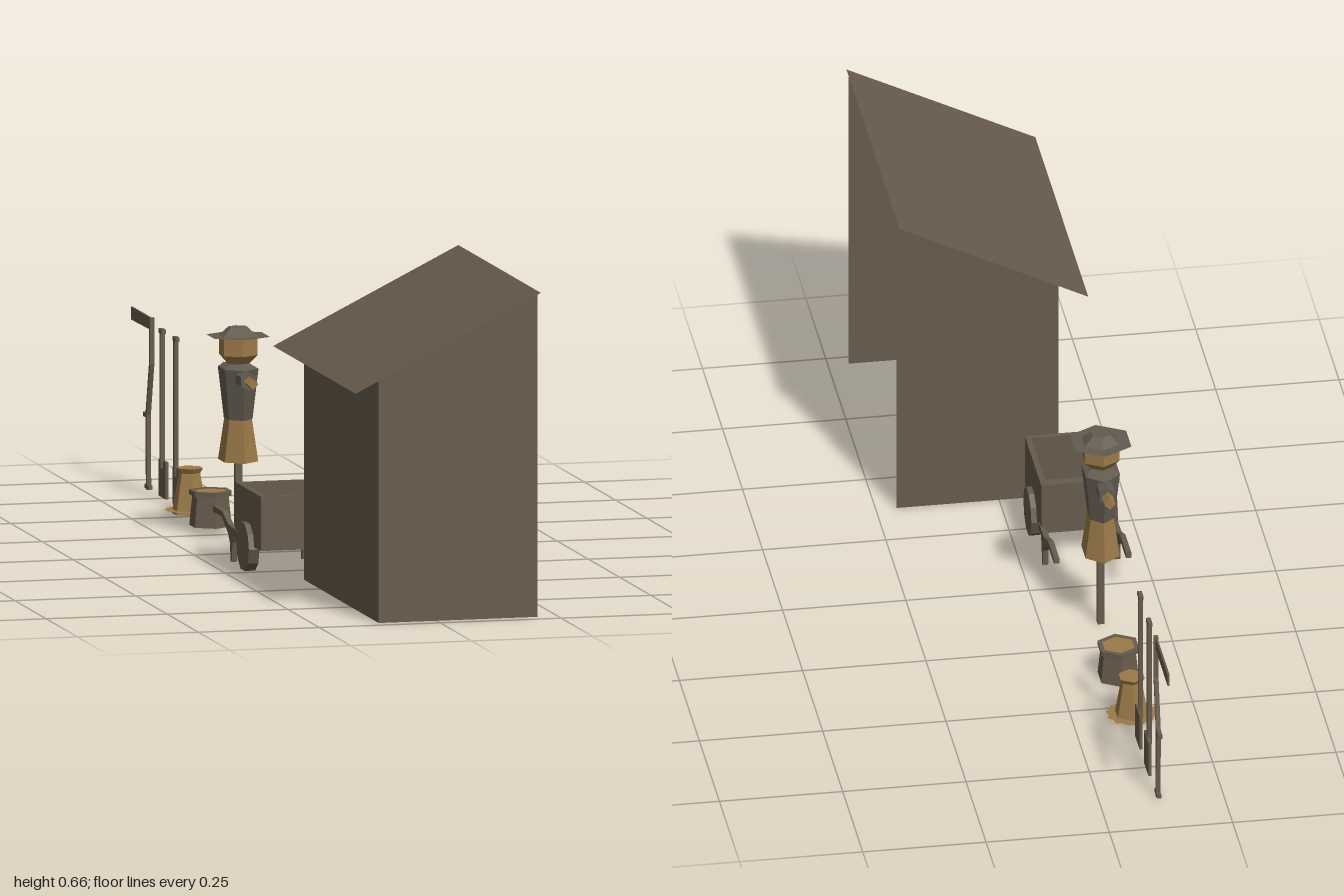
import * as THREE from 'three';

const mat = (name, color) => new THREE.MeshStandardMaterial({ name, color, flatShading: true, side: THREE.DoubleSide });
const X = -0.12; // line on which the small props stand

export function createModel() {
  const root = new THREE.Group();
  const wood = mat('weathered wood', 0x675b4b);
  const straw = mat('straw', 0x9c7a49);
  const cloth = mat('grey cloth', 0x625b50);

  const group = (name, x, z) => {
    const g = new THREE.Group();
    g.name = name;
    g.position.set(x, 0, z);
    root.add(g);
    return g;
  };
  const add = (parent, name, geo, m, x = 0, y = 0, z = 0) => {
    const mesh = new THREE.Mesh(geo, m);
    mesh.name = name;
    mesh.position.set(x, y, z);
    parent.add(mesh);
    return mesh;
  };
  const box = (p, name, m, w, h, d, x, y, z) => add(p, name, new THREE.BoxGeometry(w, h, d), m, x, y, z);
  // Six-sided section between two heights, each end with its own x and z radius
  const hex = (p, name, m, y0, [x0, z0], y1, [x1, z1], open = false) => {
    const geo = new THREE.CylinderGeometry(1, 1, y1 - y0, 6, 1, open);
    const a = geo.attributes.position;
    for (let i = 0; i < a.count; i++) {
      const top = a.getY(i) > 0;
      a.setX(i, a.getX(i) * (top ? x1 : x0));
      a.setZ(i, a.getZ(i) * (top ? z1 : z0));
    }
    return add(p, name, geo, m, 0, (y0 + y1) / 2, 0);
  };
  // Flat disc or ring lying level
  const disc = (p, name, m, inner, outer, n, y) => {
    const geo = inner ? new THREE.RingGeometry(inner, outer, n, 1, Math.PI / 2) : new THREE.CircleGeometry(outer, n, Math.PI / 2);
    return add(p, name, geo.rotateX(-Math.PI / 2), m, 0, y, 0);
  };
  // Outline drawn in (z, y), extruded along x about its middle
  const sideShape = (pts, depth) => {
    const s = new THREE.Shape(pts.map(([z, y]) => new THREE.Vector2(-z, y)));
    return new THREE.ExtrudeGeometry(s, { depth, bevelEnabled: false }).translate(0, 0, -depth / 2).rotateY(Math.PI / 2);
  };
  // Square bar between two (z, y) points
  const bar = (p, name, m, [z0, y0], [z1, y1], t) => {
    const mesh = box(p, name, m, t, Math.hypot(z1 - z0, y1 - y0), t, 0, (y0 + y1) / 2, (z0 + z1) / 2);
    mesh.rotation.x = Math.atan2(z1 - z0, y1 - y0);
    return mesh;
  };

  // Open shelter: two sloped end walls, a low back wall and a lean-to roof
  const shed = group('shelter', 0, 0);
  const end = new THREE.Shape([[-0.12, 0], [0.208, 0], [0.208, 0.658], [-0.12, 0.495]].map(a => new THREE.Vector2(...a)));
  for (const z of [0.972, 0.375]) add(shed, 'endWall', new THREE.ShapeGeometry(end), wood, 0, 0, z);
  add(shed, 'backWall', new THREE.PlaneGeometry(0.597, 0.495).rotateY(-Math.PI / 2), wood, -0.12, 0.2475, 0.6735);
  const roof = add(shed, 'roof', new THREE.PlaneGeometry(Math.hypot(0.383, 0.19), 0.66).rotateX(-Math.PI / 2), wood, 0.0165, 0.565, 0.67);
  roof.rotation.z = Math.atan2(0.19, 0.383);

  // Handcart with open box, two wheels and bent handles
  const cart = group('handcart', -0.122, 0.232);
  box(cart, 'floor', wood, 0.15, 0.012, 0.205, 0, 0.061, 0);
  for (const s of [-1, 1]) {
    box(cart, 'sidePanel', wood, 0.011, 0.11, 0.207, s * 0.071, 0.11, 0);
    box(cart, 'endPanel', wood, 0.132, 0.1, 0.011, 0, 0.115, s * 0.097);
    add(cart, 'wheel', new THREE.CylinderGeometry(0.05, 0.05, 0.022, 10).rotateZ(Math.PI / 2), wood, s * 0.077, 0.05, 0);
    const handle = [[-0.08, 0.068], [-0.15, 0.072], [-0.2, 0.092], [-0.273, 0.092], [-0.273, 0.08],
      [-0.205, 0.08], [-0.155, 0.055], [-0.137, 0.035], [-0.134, 0], [-0.124, 0], [-0.118, 0.04], [-0.108, 0.055], [-0.08, 0.055]];
    add(cart, 'handleAndLeg', sideShape(handle, 0.011), wood, s * 0.073, 0, 0);
  }
  box(cart, 'axle', wood, 0.15, 0.008, 0.01, 0, 0.05, 0);

  // Scarecrow on a stake
  const man = group('scarecrow', X, -0.152);
  box(man, 'stake', wood, 0.014, 0.25, 0.014, 0, 0.125, 0);
  hex(man, 'skirt', straw, 0.165, [0.04, 0.054], 0.25, [0.027, 0.041]);
  hex(man, 'coat', cloth, 0.25, [0.028, 0.042], 0.353, [0.04, 0.058]);
  hex(man, 'collar', cloth, 0.353, [0.04, 0.058], 0.362, [0.022, 0.022]);
  hex(man, 'chin', straw, 0.36, [0.022, 0.022], 0.379, [0.04, 0.04]);
  hex(man, 'head', straw, 0.379, [0.04, 0.04], 0.417, [0.04, 0.04]);
  disc(man, 'hatBrim', cloth, 0, 0.066, 6, 0.417);
  hex(man, 'hatCrown', cloth, 0.417, [0.04, 0.04], 0.435, [0.02, 0.02]);
  for (const s of [-1, 1]) {
    add(man, 'sleeve', new THREE.CylinderGeometry(0.018, 0.018, 0.05, 6).rotateX(Math.PI / 2), cloth, 0, 0.336, s * 0.06);
    add(man, 'arm', new THREE.CylinderGeometry(0.011, 0.011, 0.08, 4).rotateX(Math.PI / 2), straw, 0, 0.336, s * 0.08);
  }

  // Tub filled with straw
  const tub = group('tub', X, -0.373);
  hex(tub, 'tubBody', wood, 0, [0.044, 0.046], 0.068, [0.037, 0.038]);
  hex(tub, 'tubRim', wood, 0.062, [0.044, 0.045], 0.072, [0.044, 0.045], true);
  disc(tub, 'tubRimTop', wood, 0.035, 0.045, 6, 0.072);
  disc(tub, 'strawFill', straw, 0, 0.037, 6, 0.07);

  // Straw sheaf with a scalloped skirt and a flat tuft
  const sheaf = group('sheaf', X, -0.54);
  hex(sheaf, 'sheafBody', straw, 0, [0.037, 0.037], 0.083, [0.022, 0.022]);
  hex(sheaf, 'sheafTop', straw, 0.083, [0.022, 0.022], 0.093, [0.028, 0.028]);
  const scallop = new THREE.Shape();
  for (let i = 0; i < 24; i++) {
    const a = (i / 24) * Math.PI * 2, r = i % 2 ? 0.053 : 0.047;
    scallop[i ? 'lineTo' : 'moveTo'](Math.cos(a) * r, Math.sin(a) * r);
  }
  add(sheaf, 'scallopedSkirt', new THREE.ShapeGeometry(scallop).rotateX(-Math.PI / 2), straw, 0, 0.008, 0);

  // Two spades
  for (const z of [-0.649, -0.759]) {
    const spade = group('spade', X, z);
    const blade = [[-0.028, 0], [0.028, 0], [0.028, 0.075], [-0.028, 0.075]];
    add(spade, 'blade', sideShape(blade, 0.006), wood, 0.003, 0, 0);
    bar(spade, 'shaft', wood, [0, 0.06], [0, 0.335], 0.009);
    box(spade, 'grip', wood, 0.009, 0.009, 0.024, 0, 0.337, 0);
  }

  // Scythe with a bent shaft
  const scythe = group('scythe', X, 0);
  const bend = [[-0.868, 0], [-0.872, 0.15], [-0.843, 0.26], [-0.842, 0.352]];
  for (let i = 0; i < 3; i++) bar(scythe, 'shaft', wood, bend[i], bend[i + 1], 0.009);
  box(scythe, 'buttGrip', wood, 0.009, 0.008, 0.03, 0, 0.006, -0.868);
  box(scythe, 'midGrip', wood, 0.009, 0.009, 0.03, 0, 0.15, -0.882);
  add(scythe, 'blade', sideShape([[-0.842, 0.327], [-0.842, 0.351], [-1, 0.351], [-1, 0.325]], 0.004), wood);

  return root;
}
